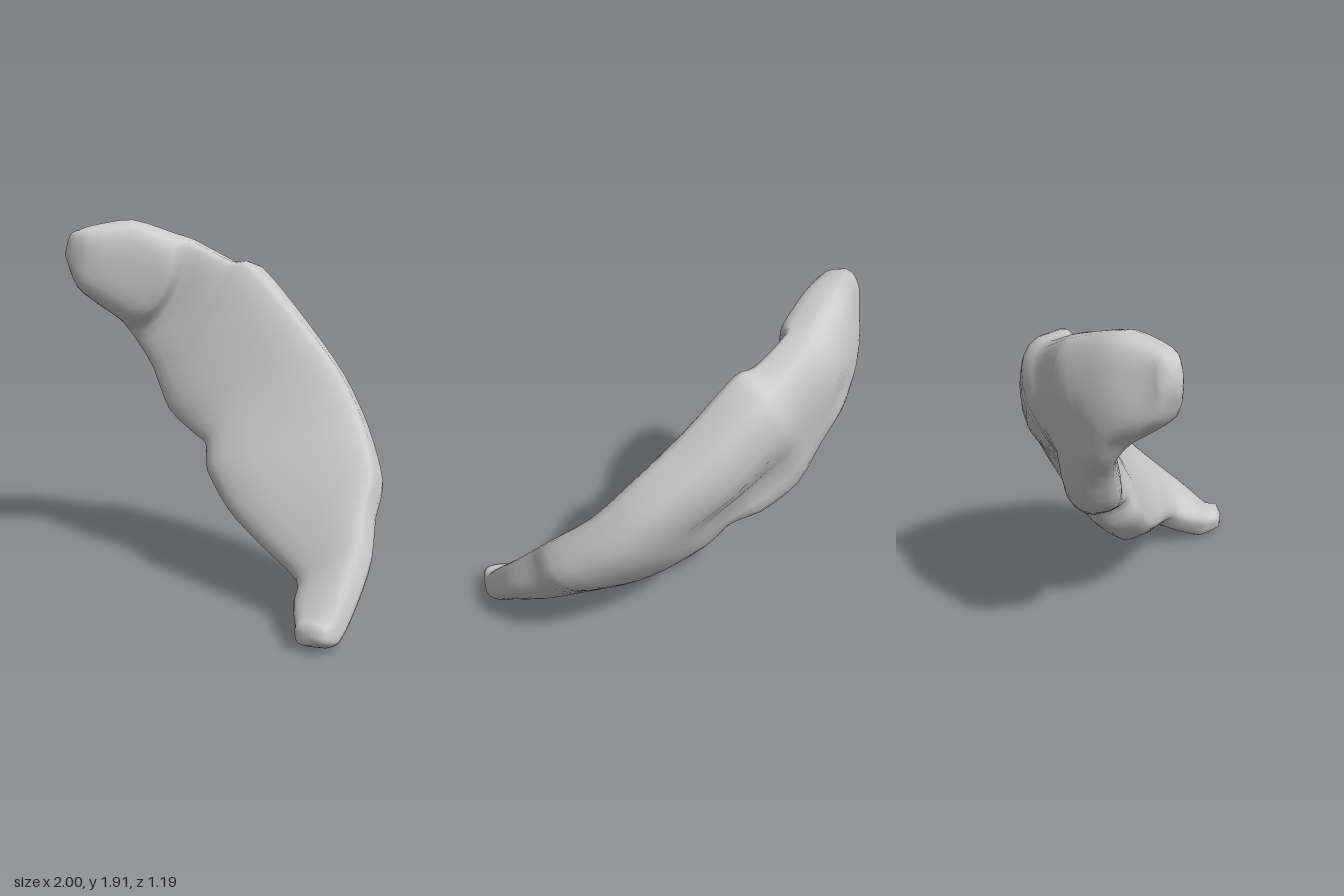
import * as THREE from 'three';

// Stations from the blunt upper end to the lower tip:
// lower edge point, upper edge point, [front thickness, back thickness, bow along the body]
const stations = [
  [[-1.00, 1.71, 0.04], [-0.95, 1.85, 0.06], [0.05, 0.06, 0]],
  [[-0.96, 1.56, 0.02], [-0.85, 1.875, 0.04], [0.10, 0.11, 0.03]],
  [[-0.90, 1.47, -0.06], [-0.68, 1.90, -0.11], [0.14, 0.15, 0.07]],
  [[-0.82, 1.38, -0.17], [-0.49, 1.82, -0.23], [0.15, 0.18, 0.10]],
  [[-0.75, 1.25, -0.22], [-0.43, 1.80, -0.30], [0.07, 0.18, 0.08]],
  [[-0.63, 1.10, -0.23], [-0.22, 1.70, -0.38], [0.09, 0.19, 0.04]],
  [[-0.49, 0.88, -0.20], [-0.09, 1.69, -0.41], [0.10, 0.25, 0]],
  [[-0.31, 0.77, -0.18], [0.20, 1.42, -0.42], [0.11, 0.25, 0]],
  [[-0.19, 0.73, -0.13], [0.46, 1.18, -0.39], [0.11, 0.23, 0]],
  [[-0.13, 0.60, -0.06], [0.66, 0.95, -0.31], [0.11, 0.23, 0]],
  [[0.07, 0.43, 0.02], [0.84, 0.74, -0.14], [0.10, 0.22, 0]],
  [[0.30, 0.32, 0.09], [0.88, 0.60, 0.00], [0.09, 0.18, 0]],
  [[0.63, 0.20, 0.21], [0.95, 0.43, 0.15], [0.09, 0.13, 0]],
  [[0.70, 0.12, 0.34], [0.985, 0.26, 0.32], [0.09, 0.11, 0]],
  [[0.77, 0.06, 0.46], [0.995, 0.11, 0.47], [0.08, 0.09, 0]],
  [[0.82, 0.07, 0.56], [0.97, 0.12, 0.56], [0.05, 0.05, 0]],
];
const SIDES = 28;
const STEPS = (stations.length - 1) * 3;

// Hollows in the back: station, position across (-1 lower, 1 upper), length, width, depth
const dents = [
  [6.9, -0.25, 1.3, 0.3, 0.1],
  [3.6, -0.55, 0.8, 0.35, 0.05],
];

// Smooth curve through one entry of every station
const curveOf = (entry) =>
  new THREE.CatmullRomCurve3(stations.map((s) => new THREE.Vector3(...s[entry])), false, 'catmullrom', 0.4);
const signedPower = (v, power) => Math.sign(v) * Math.abs(v) ** power;

function dentDepth(t, w) {
  const station = t * (stations.length - 1);
  return dents.reduce((sum, [s, across, length, width, depth]) =>
    sum + depth * Math.exp(-(((station - s) / length) ** 2) - ((w - across) / width) ** 2), 0);
}

function loftBody() {
  const lower = curveOf(0);
  const upper = curveOf(1);
  const shape = curveOf(2);
  const middle = (t) => lower.getPoint(t).lerp(upper.getPoint(t), 0.5);
  const positions = [];
  const index = [];

  for (let i = 0; i <= STEPS; i++) {
    const t = i / STEPS;
    const centre = middle(t);
    const half = upper.getPoint(t).sub(lower.getPoint(t)).multiplyScalar(0.5);
    const along = middle(Math.min(1, t + 0.06)).sub(middle(Math.max(0, t - 0.06))).normalize();
    const front = along.clone().cross(half).normalize();
    const { x: frontThick, y: backThick, z: bow } = shape.getPoint(t);
    // flattened oval, its back fuller towards the upper edge and its front towards the lower one
    for (let j = 0; j < SIDES; j++) {
      const a = (j / SIDES) * Math.PI * 2;
      const w = signedPower(Math.cos(a), 0.8);
      const s = signedPower(Math.sin(a), 0.62);
      const d = s > 0
        ? s * frontThick * (1 - 0.2 * w)
        : s * (backThick * (1 + 0.15 * w) - dentDepth(t, w));
      const p = centre.clone()
        .addScaledVector(half, w)
        .addScaledVector(front, d)
        .addScaledVector(along, bow * (1 - w * w));
      positions.push(p.x, p.y, p.z);
    }
  }
  for (let i = 0; i < STEPS; i++) {
    for (let j = 0; j < SIDES; j++) {
      const k = (j + 1) % SIDES;
      const a = i * SIDES + j;
      const b = i * SIDES + k;
      index.push(a, b, a + SIDES, b, b + SIDES, a + SIDES);
    }
  }
  // rounded end caps
  const first = positions.length / 3;
  const last = STEPS * SIDES;
  for (const [t, inner] of [[0, 0.05], [1, 0.95]]) {
    const c = middle(t);
    c.addScaledVector(c.clone().sub(middle(inner)).normalize(), 0.02);
    positions.push(c.x, c.y, c.z);
  }
  for (let j = 0; j < SIDES; j++) {
    const k = (j + 1) % SIDES;
    index.push(first, k, j, first + 1, last + j, last + k);
  }

  const geometry = new THREE.BufferGeometry();
  geometry.setAttribute('position', new THREE.Float32BufferAttribute(positions, 3));
  geometry.setIndex(index);
  geometry.computeVertexNormals();
  return geometry;
}

export function createModel() {
  const group = new THREE.Group();
  const body = new THREE.Mesh(loftBody(), new THREE.MeshStandardMaterial({ color: 0xcccccc }));
  body.name = 'curvedBody';
  group.add(body);
  return group;
}
